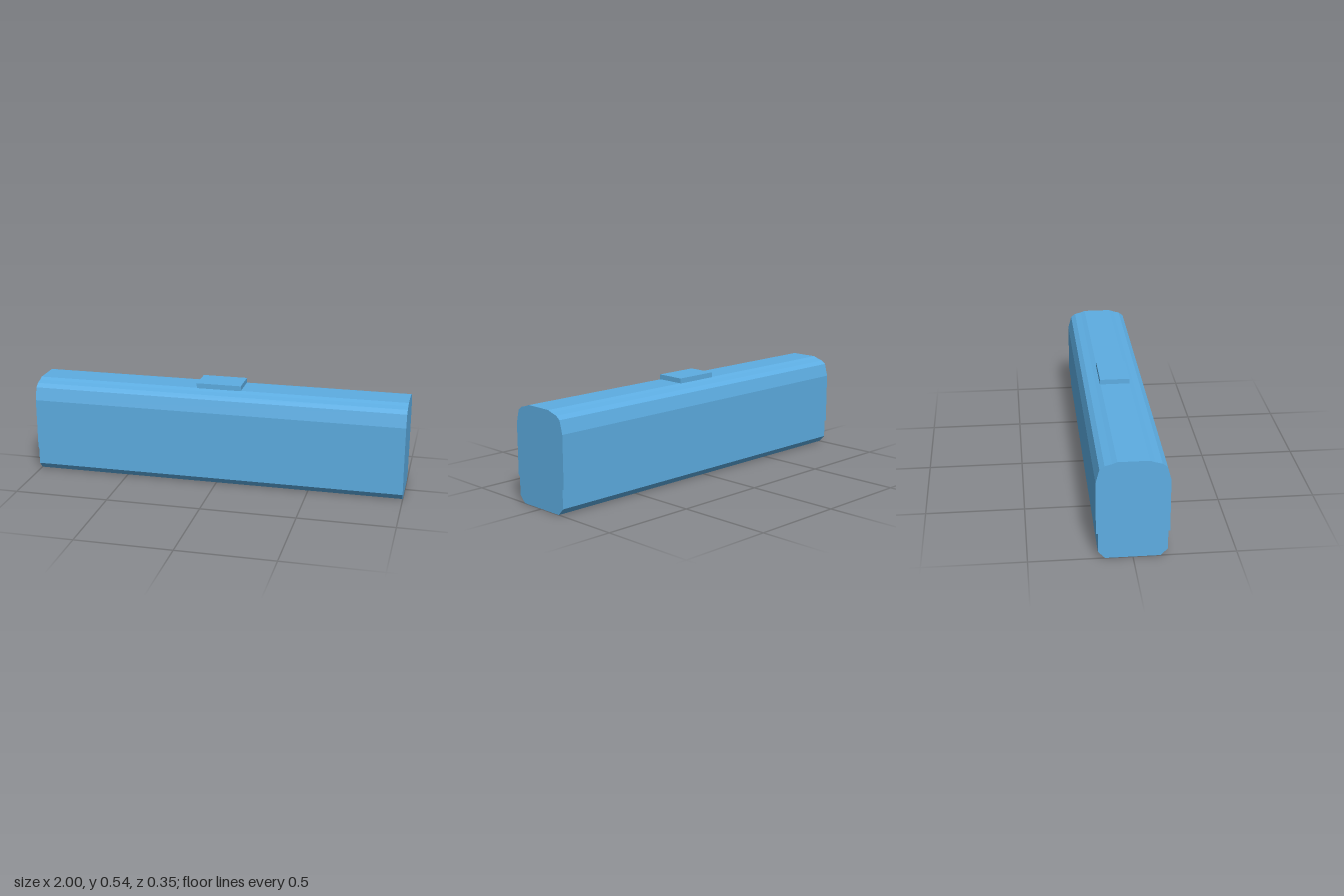
import * as THREE from 'three';

const LENGTH = 2;

// Extrudes a symmetric cross-section, given as [half width, height] from bottom to top, along x
function extrudeProfile(half, material, name) {
  const mirrored = half.map(([w, y]) => [-w, y]).reverse();
  const shape = new THREE.Shape([...half, ...mirrored].map(([w, y]) => new THREE.Vector2(w, y)));
  const geometry = new THREE.ExtrudeGeometry(shape, { depth: LENGTH, bevelEnabled: false });
  geometry.translate(0, 0, -LENGTH / 2);
  geometry.rotateY(Math.PI / 2);
  const mesh = new THREE.Mesh(geometry, material);
  mesh.name = name;
  return mesh;
}

export function createModel() {
  const group = new THREE.Group();
  group.name = 'carriage';
  const blue = new THREE.MeshStandardMaterial({ color: 0x5dade2 });
  blue.name = 'sky blue';

  // Narrower underframe with chamfered bottom edges
  group.add(extrudeProfile([[0.133, 0], [0.167, 0.036], [0.167, 0.134]], blue, 'underframe'));

  // Body with inward-leaning upper sides and a faceted roof
  group.add(extrudeProfile([
    [0.176, 0.134], [0.176, 0.405], [0.158, 0.473],
    [0.134, 0.491], [0.1, 0.5], [0.075, 0.509],
  ], blue, 'body'));

  // Roof unit
  const unit = new THREE.Mesh(new THREE.BoxGeometry(0.24, 0.027, 0.156), blue);
  unit.name = 'roofUnit';
  unit.position.y = 0.5215;
  group.add(unit);

  return group;
}
